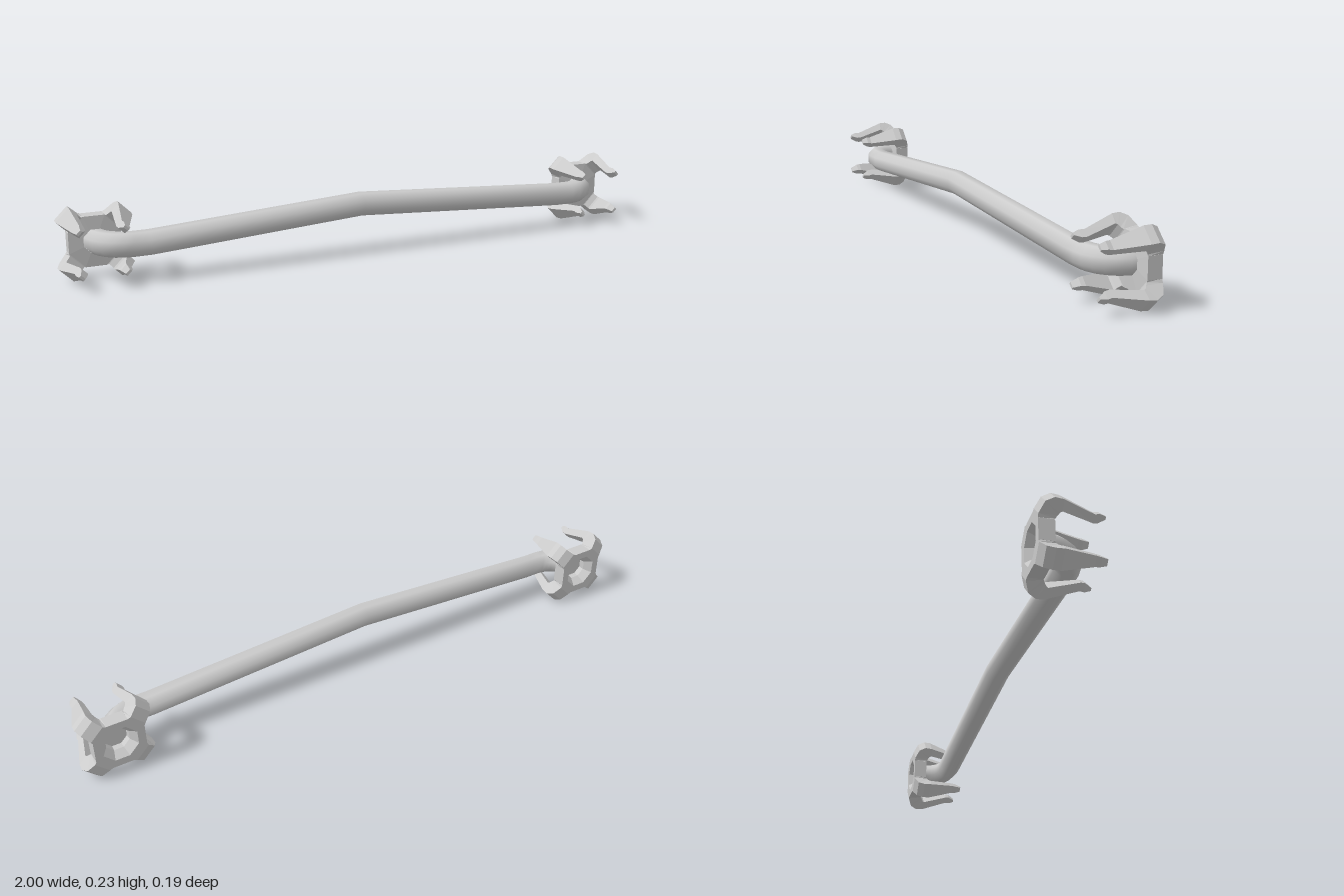
import * as THREE from 'three';

const smooth = new THREE.MeshStandardMaterial({ color: 0xcccccc });
const faceted = new THREE.MeshStandardMaterial({ color: 0xcccccc, flatShading: true });
const CENTER_Y = 0.118, END_X = 0.885;

function buffer(positions, index) {
  const g = new THREE.BufferGeometry();
  g.setAttribute('position', new THREE.Float32BufferAttribute(positions, 3));
  if (index) g.setIndex(index);
  g.computeVertexNormals();
  return g;
}

// Eight-sided rod swept along a path: elbow, rise to the bend, fall, elbow
function barGeometry() {
  const path = [], R = 0.1, sides = 8, radius = 0.04;
  const elbow = (s, t) => new THREE.Vector3(
    s * (END_X - R + R * Math.cos(t)), CENTER_Y + 0.001, -0.065 + R * Math.sin(t));
  const steps = 6;
  for (let i = 0; i <= steps; i++) path.push(elbow(-1, i / steps * Math.PI / 2));
  path.push(new THREE.Vector3(-0.735, CENTER_Y + 0.001, 0.035));
  path.push(new THREE.Vector3(-0.033, 0.165, 0.035));
  path.push(new THREE.Vector3(0.735, CENTER_Y + 0.001, 0.035));
  for (let i = steps; i >= 0; i--) path.push(elbow(1, i / steps * Math.PI / 2));

  const pos = [], index = [], n = path.length;
  path.forEach((p, i) => {
    const dir = path[Math.min(i + 1, n - 1)].clone().sub(path[Math.max(i - 1, 0)]).normalize();
    if (i === 0) dir.set(0, 0, 1);
    if (i === n - 1) dir.set(0, 0, -1);
    const side = new THREE.Vector3().crossVectors(dir, new THREE.Vector3(0, 1, 0)).normalize();
    const up = new THREE.Vector3().crossVectors(side, dir);
    for (let k = 0; k < sides; k++) {
      const a = (k + 0.5) / sides * Math.PI * 2;
      const v = p.clone().addScaledVector(side, radius * Math.cos(a)).addScaledVector(up, radius * Math.sin(a));
      pos.push(v.x, v.y, v.z);
      if (i < n - 1) {
        const a0 = i * sides + k, a1 = i * sides + (k + 1) % sides;
        index.push(a0, a1 + sides, a1, a0, a0 + sides, a1 + sides);
      }
    }
  });
  return buffer(pos, index);
}

// Octagonal collar with a funnelled hole, axis along z
function collarGeometry() {
  const r = 0.08 / Math.cos(Math.PI / 8);
  const profile = [[0.038, -0.05], [0.04, -0.068], [0.06, -0.093], [r, -0.093], [r, -0.047], [0.038, -0.044], [0.038, -0.05]]
    .map(([x, y]) => new THREE.Vector2(x, y));
  return new THREE.LatheGeometry(profile, 8, Math.PI / 8).rotateX(Math.PI / 2);
}

// Hooked claw: sections of [outer z, outer r, inner z, inner r, width]
function clawGeometry() {
  const sections = [
    [-0.093, 0.079, -0.047, 0.079, 0.066],
    [-0.093, 0.09, -0.046, 0.082, 0.058],
    [-0.08, 0.123, -0.041, 0.09, 0.056],
    [-0.057, 0.136, -0.036, 0.098, 0.057],
    [-0.033, 0.134, -0.03, 0.102, 0.058],
    [0.06, 0.104, 0.06, 0.08, 0.03],
    [0.075, 0.106, 0.073, 0.081, 0.026],
    [0.093, 0.101, 0.093, 0.093, 0.018],
  ].map(([zo, ro, zi, ri, w]) => [
    [w / 2, ro, zo], [-w / 2, ro, zo], [-w / 2, ri, zi], [w / 2, ri, zi]]);
  const pos = [];
  const quad = (a, b, c, d) => pos.push(...a, ...b, ...c, ...a, ...c, ...d);
  for (let s = 0; s < sections.length - 1; s++) {
    const A = sections[s], B = sections[s + 1];
    for (let i = 0; i < 4; i++) {
      const j = (i + 1) % 4;
      quad(A[i], A[j], B[j], B[i]);
    }
  }
  quad(...sections[sections.length - 1]);
  return buffer(pos);
}

export function createModel() {
  const model = new THREE.Group();
  model.name = 'clawEndedBar';
  const add = (parent, geometry, material, name) => {
    const mesh = new THREE.Mesh(geometry, material);
    mesh.name = name;
    parent.add(mesh);
    return mesh;
  };

  add(model, barGeometry(), smooth, 'bar');

  // Flat discs closing the rod, recessed in the collars
  const disc = new THREE.CircleGeometry(0.04, 8, Math.PI / 8).rotateY(Math.PI);
  const collar = collarGeometry(), claw = clawGeometry();
  for (const [s, label] of [[1, 'left'], [-1, 'right']]) {
    const end = new THREE.Group();
    end.name = label + 'Mount';
    end.position.set(s * END_X, CENTER_Y, 0);
    add(end, disc, faceted, label + 'BarEnd').position.z = -0.05;
    add(end, collar, faceted, label + 'Collar');
    for (let k = 0; k < 4; k++) {
      add(end, claw, faceted, label + 'Claw' + (k + 1)).rotation.z = Math.PI / 4 + k * Math.PI / 2;
    }
    model.add(end);
  }
  return model;
}
